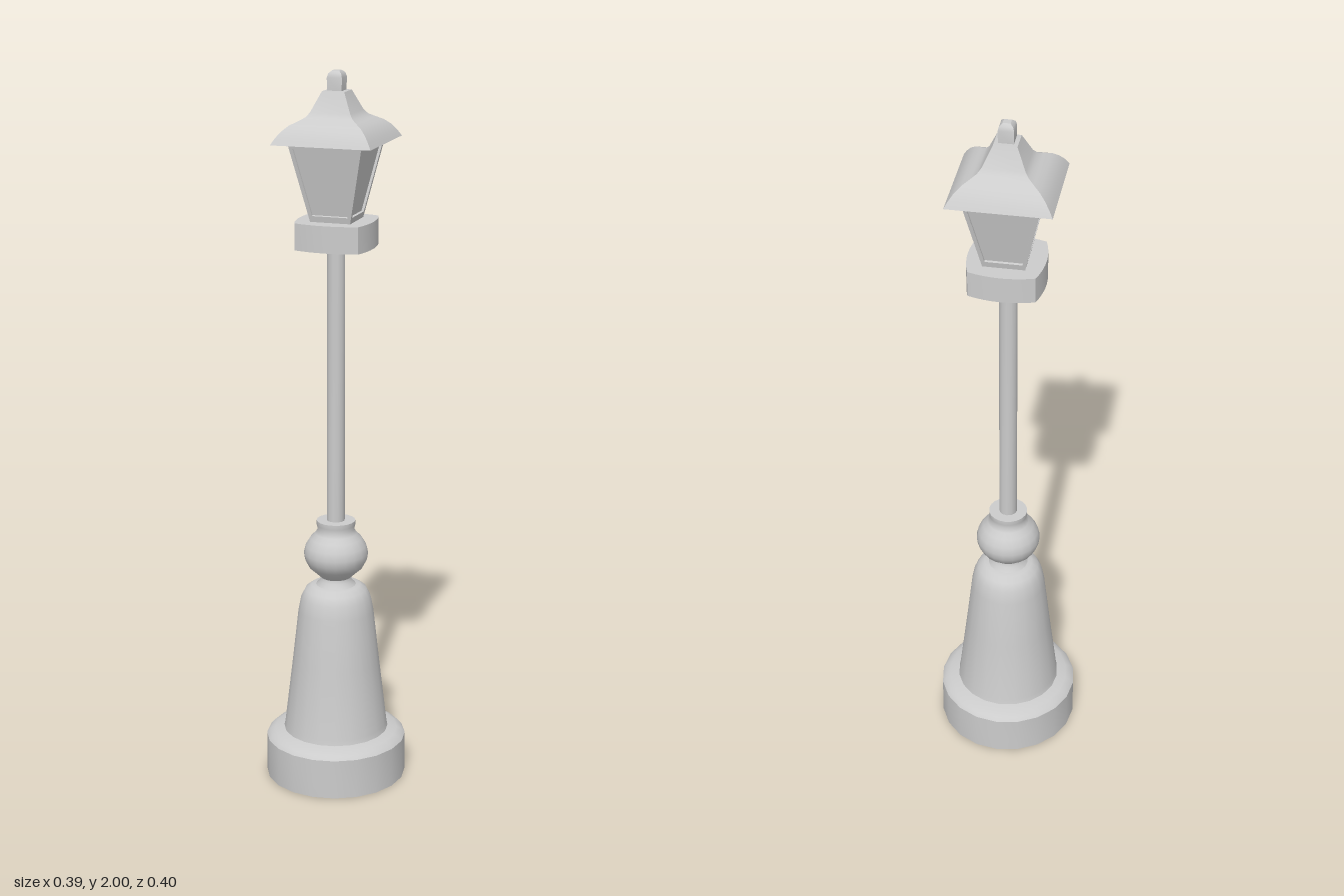
import * as THREE from 'three';
import { toCreasedNormals } from 'three/addons/utils/BufferGeometryUtils.js';

const material = new THREE.MeshStandardMaterial({ color: 0xcccccc });

function part(name, geometry, crease = 0.6) {
  const mesh = new THREE.Mesh(toCreasedNormals(geometry, crease), material);
  mesh.name = name;
  return mesh;
}

const toPoints = (list) => list.map(([r, y]) => new THREE.Vector2(r, y));

// Round turned profile, listed from the inside or bottom upwards
const turned = (profile, sides) => new THREE.LatheGeometry(toPoints(profile), sides);

// Square profile: [half width, height]
const squared = (profile) => new THREE.LatheGeometry(
  toPoints(profile.map(([h, y]) => [h * Math.SQRT2, y])), 4, Math.PI / 4);

function trapezoid(Type, y0, h0, y1, h1) {
  const t = new Type();
  t.moveTo(-h0, y0);
  t.lineTo(h0, y0);
  t.lineTo(h1, y1);
  t.lineTo(-h1, y1);
  t.closePath();
  return t;
}

export function createModel() {
  const model = new THREE.Group();
  model.name = 'streetLamp';

  // Hollow pedestal: foot ring, tapered body, rounded shoulder
  const pedestal = part('pedestal', turned([
    [0, 0.5], [0.085, 0.5], [0.135, 0.14], [0.155, 0.1], [0.157, 0],
    [0.202, 0], [0.202, 0.113], [0.193, 0.123], [0.178, 0.13], [0.151, 0.136],
    [0.148, 0.15], [0.125, 0.34], [0.108, 0.49], [0.1, 0.53], [0.088, 0.553],
    [0.07, 0.565], [0.04, 0.568],
  ], 20));
  pedestal.scale.x = 0.975;
  model.add(pedestal);

  // Ball with neck and collar
  model.add(part('ballKnob', turned([
    [0.06, 0.562], [0.044, 0.578], [0.042, 0.588], [0.055, 0.6], [0.075, 0.618],
    [0.087, 0.64], [0.09, 0.66], [0.085, 0.682], [0.072, 0.703], [0.058, 0.717],
    [0.051, 0.73], [0.054, 0.742], [0.054, 0.755], [0.02, 0.755],
  ], 20), 0.8));

  // Pole
  const pole = new THREE.CylinderGeometry(0.025, 0.025, 0.8, 12);
  pole.translate(0, 1.14, 0);
  model.add(part('pole', pole));

  const lantern = new THREE.Group();
  lantern.name = 'lantern';
  lantern.position.set(0.002, 0, -0.001);
  model.add(lantern);

  // Platform: a square with bulging sides
  const c = 0.089, bulge = 0.119;
  const outline = new THREE.Shape();
  outline.moveTo(-c, -c);
  outline.quadraticCurveTo(0, -bulge, c, -c);
  outline.quadraticCurveTo(bulge, 0, c, c);
  outline.quadraticCurveTo(0, bulge, -c, c);
  outline.quadraticCurveTo(-bulge, 0, -c, -c);
  const platform = new THREE.ExtrudeGeometry(outline, { depth: 0.073, bevelEnabled: false, curveSegments: 8 });
  platform.rotateX(-Math.PI / 2);
  platform.translate(0, 1.53, 0);
  lantern.add(part('platform', platform));

  // Glass body set inside the frame
  lantern.add(part('glass', squared([[0, 1.602], [0.049, 1.602], [0.095, 1.815], [0, 1.815]])));

  // Four leaning window frames
  const rise = 0.212, lean = 0.046, length = Math.hypot(rise, lean);
  const frameShape = trapezoid(THREE.Shape, 0, 0.056, length, 0.102);
  frameShape.holes.push(trapezoid(THREE.Path, 0.018, 0.05, length - 0.012, 0.09));
  for (let i = 0; i < 4; i++) {
    const frame = new THREE.ExtrudeGeometry(frameShape, { depth: 0.01, bevelEnabled: false });
    frame.translate(0, 0, -0.01);
    frame.rotateX(Math.atan2(lean, rise));
    frame.translate(0, 1.602, 0.056);
    frame.rotateY(i * Math.PI / 2);
    lantern.add(part('windowFrame', frame));
  }

  // Flared roof with a recessed underside
  lantern.add(part('roof', squared([
    [0, 1.828], [0.108, 1.828], [0.128, 1.815], [0.138, 1.815], [0.128, 1.832],
    [0.115, 1.849], [0.099, 1.863], [0.08, 1.873], [0.066, 1.881], [0.056, 1.893],
    [0.031, 1.947], [0, 1.95],
  ])));

  // Finial
  lantern.add(part('finial', squared([
    [0.02, 1.94], [0.021, 1.982], [0.018, 1.993], [0.01, 2], [0, 2],
  ])));

  return model;
}
